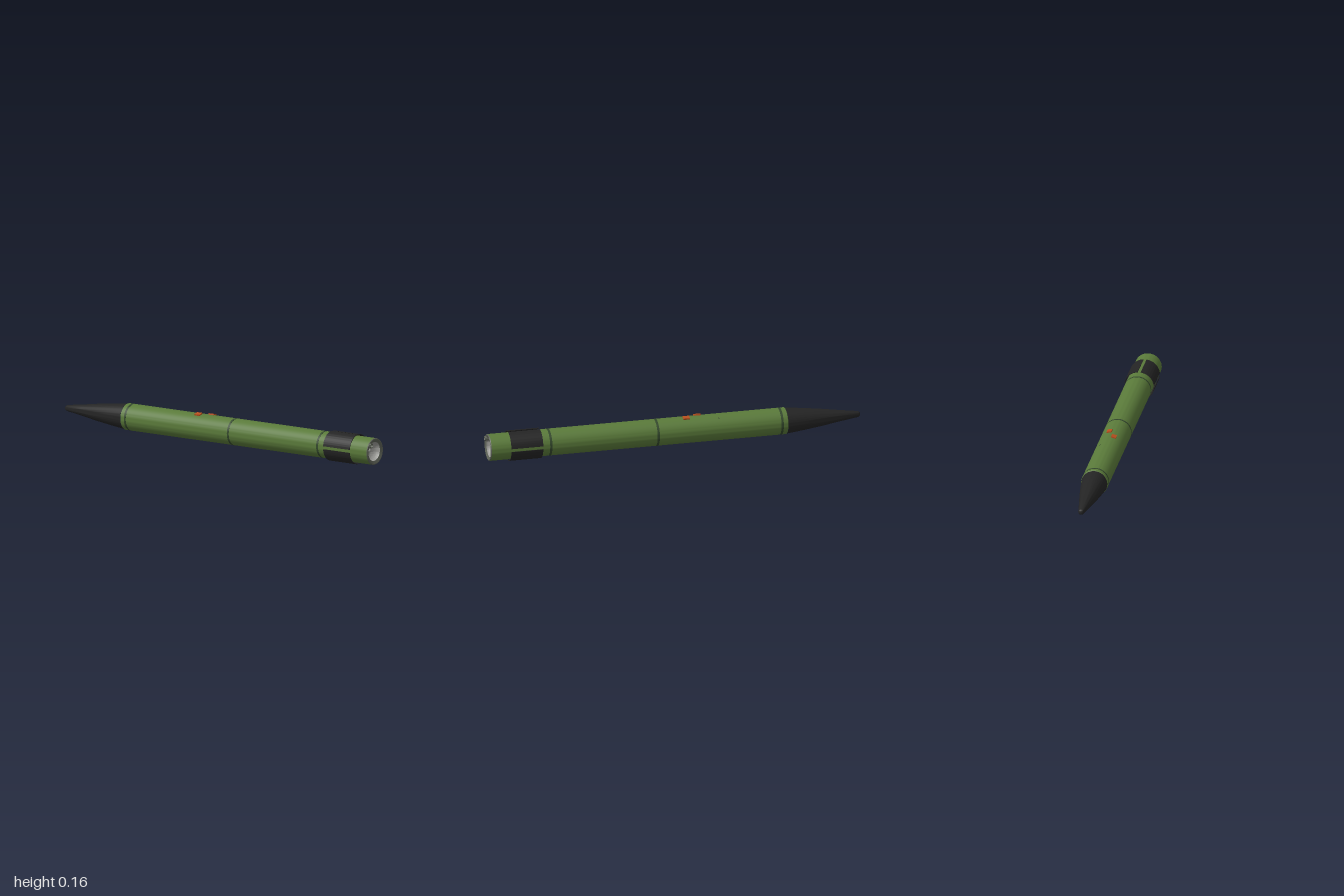
import * as THREE from 'three';
import { toCreasedNormals } from 'three/addons/utils/BufferGeometryUtils.js';

const AXIS = 0.079; // height of the centre line
const R = 0.07; // body radius

const mat = (name, color, side = THREE.FrontSide) => {
  const m = new THREE.MeshStandardMaterial({ color, side });
  m.name = name;
  return m;
};

export function createModel() {
  const green = mat('olive green', 0x5a7a3a);
  const band = mat('dark green', 0x34492c);
  const black = mat('black', 0x242424);
  const orange = mat('orange', 0xb8501e);
  const rimGrey = mat('dark grey', 0x5c6156);
  const grey = mat('nozzle grey', 0x9c9c98);

  const model = new THREE.Group();
  model.name = 'rocket';
  const add = (name, geometry, material) => {
    const mesh = new THREE.Mesh(geometry, material);
    mesh.name = name;
    mesh.position.y = AXIS;
    model.add(mesh);
    return mesh;
  };
  // profile of [radius, z] pairs turned round the long axis, z ascending
  const turned = (name, profile, material, segments = 64) => {
    const g = new THREE.LatheGeometry(profile.map(([r, z]) => new THREE.Vector2(r, z)), segments);
    g.rotateX(Math.PI / 2);
    return add(name, toCreasedNormals(g, 0.6), material);
  };

  // nose cone with rounded tip
  const nose = [];
  for (let i = 0; i <= 6; i++) {
    const a = (i / 6) * 1.45;
    nose.push([0.016 * Math.sin(a), -0.984 - 0.016 * Math.cos(a)]);
  }
  nose.push([0.031, -0.88], [0.045, -0.79], [0.058, -0.69], [0.068, -0.6]);
  turned('noseCone', nose, black);

  // body tube
  turned('body', [[0.066, -0.6], [R, -0.597], [R, 0.988]], green);

  // section bands
  for (const z of [-0.568, 0.095, 0.67]) {
    turned('sectionBand', [[R, z - 0.006], [R + 0.0006, z - 0.006], [R + 0.0006, z + 0.006], [R, z + 0.006]], band);
  }

  // tail rim, nozzle bowl and centre igniter
  turned('tailRim', [[R, 0.988], [0.068, 0.992], [0.064, 0.993], [0.05, 0.986]], rimGrey);
  const bowl = [];
  for (let i = 0; i <= 12; i++) {
    const a = (i / 12) * Math.PI / 2;
    bowl.push([0.05 * Math.cos(a), 0.986 - 0.04 * Math.sin(a)]);
  }
  turned('nozzleBowl', bowl, grey);
  const igniter = add('igniter', new THREE.SphereGeometry(0.01, 24, 16), grey);
  igniter.position.z = 0.953;

  // small tail pipe
  const pipe = turned('tailPipe', [[0.013, 0.95], [0.013, 0.998], [0.012, 1], [0.01, 1], [0.009, 0.998], [0.009, 0.985], [0, 0.985]], rimGrey, 24);
  pipe.position.set(-0.039, AXIS + 0.037, 0);

  // four curved folded fins standing off the tail
  const outer = 0.079, inner = 0.076, gap = 0.104;
  const arc = new THREE.Shape();
  arc.absarc(0, 0, outer, gap, Math.PI / 2 - gap, false);
  arc.absarc(0, 0, inner, Math.PI / 2 - gap, gap, true);
  arc.closePath();
  const fin = toCreasedNormals(
    new THREE.ExtrudeGeometry(arc, { depth: 0.17, bevelEnabled: false, curveSegments: 20 }), 0.6);
  for (let i = 0; i < 4; i++) {
    const mesh = add('foldedFin', fin, black);
    mesh.position.z = 0.715;
    mesh.rotation.z = i * Math.PI / 2;
  }

  // two orange pads lying on the top of the body
  for (const [x, z] of [[-0.018, -0.132], [0.015, -0.066]]) {
    const a = Math.asin(x / R);
    const pad = add('topPad', new THREE.BoxGeometry(0.026, 0.01, 0.034), orange);
    pad.position.set(Math.sin(a) * 0.071, AXIS + Math.cos(a) * 0.071, z);
    pad.rotation.z = -a;
  }

  // small port on the left shoulder
  const port = add('sidePort', new THREE.CylinderGeometry(0.003, 0.003, 0.004, 12), black);
  port.position.set(Math.sin(0.55) * 0.069, AXIS + Math.cos(0.55) * 0.069, -0.235);
  port.rotation.z = -0.55;

  return model;
}
